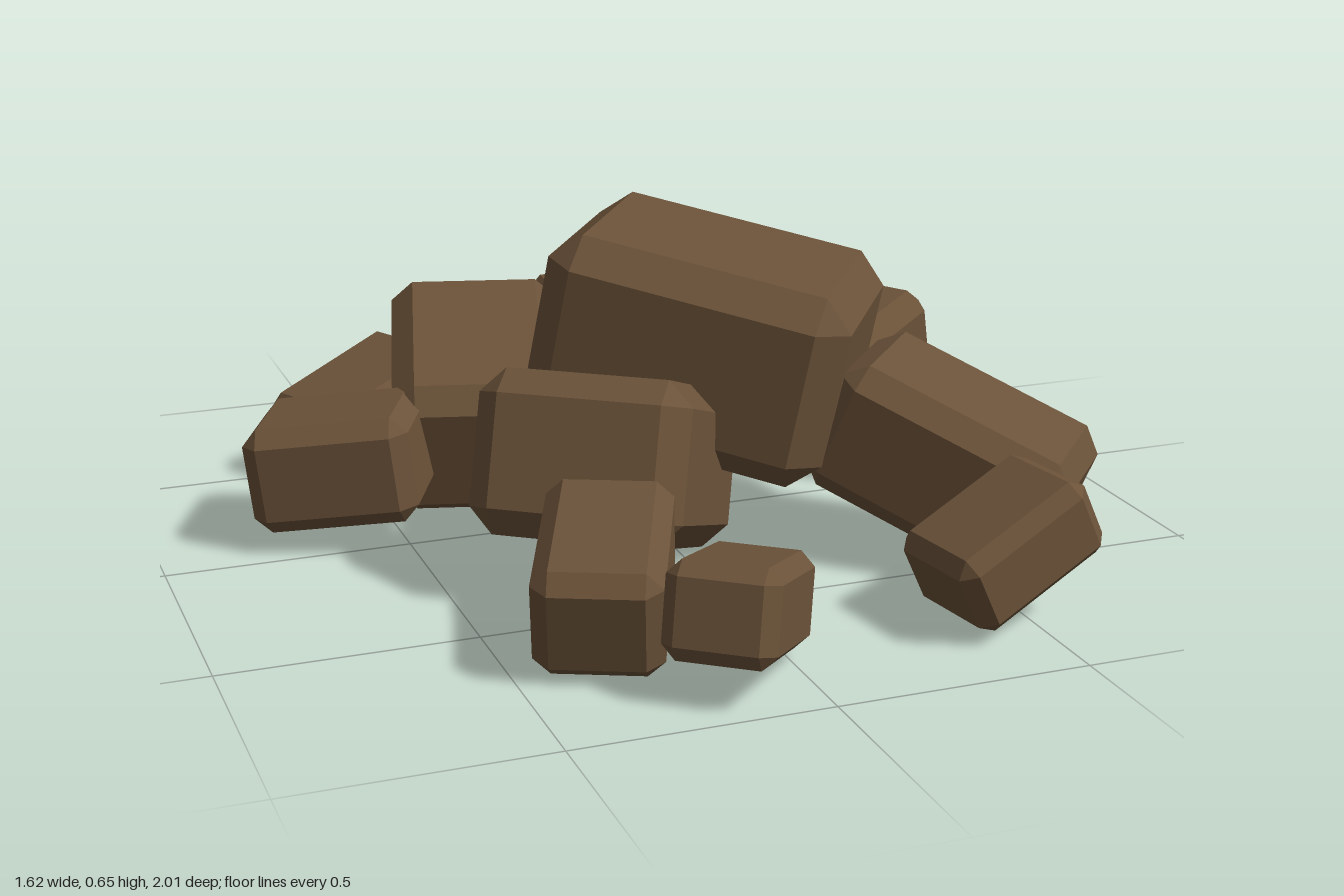
import * as THREE from 'three';
import { ConvexGeometry } from 'three/addons/geometries/ConvexGeometry.js';

// Box with every edge and corner chamfered
function chamferedBox(w, h, d) {
  const b = 0.045 * Math.cbrt((w * h * d) / 0.05);
  const half = [w / 2, h / 2, d / 2];
  const points = [];
  for (const sx of [-1, 1]) for (const sy of [-1, 1]) for (const sz of [-1, 1]) {
    for (let face = 0; face < 3; face++) {
      const [x, y, z] = half.map((s, i) => (i === face ? s : s - b));
      points.push(new THREE.Vector3(sx * x, sy * y, sz * z));
    }
  }
  return new ConvexGeometry(points);
}

// name, centre, size, [pitch, yaw, roll] in degrees
const ROCKS = [
  ['topBoulder', [0.11, 0.425, 0.095], [0.62, 0.40, 0.50], [0, -35, -11]],
  ['frontLeftBoulder', [0.51, 0.225, 0.42], [0.50, 0.28, 0.34], [0, -42, -22]],
  ['frontRightBoulder', [-0.16, 0.24, 0.25], [0.51, 0.32, 0.42], [0, 55, -20]],
  ['frontRightRock', [-0.30, 0.16, 0.63], [0.24, 0.22, 0.37], [12, -24, 0]],
  ['frontPebble', [-0.115, 0.155, 0.825], [0.31, 0.18, 0.21], [0, 53, -14]],
  ['frontLeftPebble', [0.45, 0.17, 0.75], [0.31, 0.17, 0.23], [0, 9, 26]],
  ['rightRock', [-0.615, 0.18, -0.10], [0.34, 0.22, 0.27], [0, -25, 7]],
  ['backRightRock', [-0.46, 0.15, -0.48], [0.36, 0.20, 0.26], [0, 28, 15]],
  ['backRightBoulder', [-0.27, 0.23, -0.28], [0.36, 0.32, 0.48], [18, -15, 0]],
  ['leftBoulder', [0.54, 0.20, -0.26], [0.42, 0.29, 0.34], [0, 32, 12]],
  ['backLeftBoulder', [0.37, 0.21, -0.48], [0.46, 0.29, 0.36], [0, 10, 8]],
  ['backLeftRock', [0.245, 0.185, -0.845], [0.37, 0.22, 0.28], [0, -2, 4]],
  ['backPebble', [-0.145, 0.16, -0.82], [0.22, 0.20, 0.31], [17, -16, 0]],
];

export function createModel() {
  const model = new THREE.Group();
  model.name = 'rockPile';
  const brown = new THREE.MeshStandardMaterial({ color: 0x6b5239 });
  brown.name = 'brownStone';

  for (const [name, centre, size, tilt] of ROCKS) {
    const rock = new THREE.Mesh(chamferedBox(...size), brown);
    rock.name = name;
    rock.position.set(...centre);
    rock.rotation.set(...tilt.map(THREE.MathUtils.degToRad), 'YXZ');
    model.add(rock);
  }
  return model;
}
